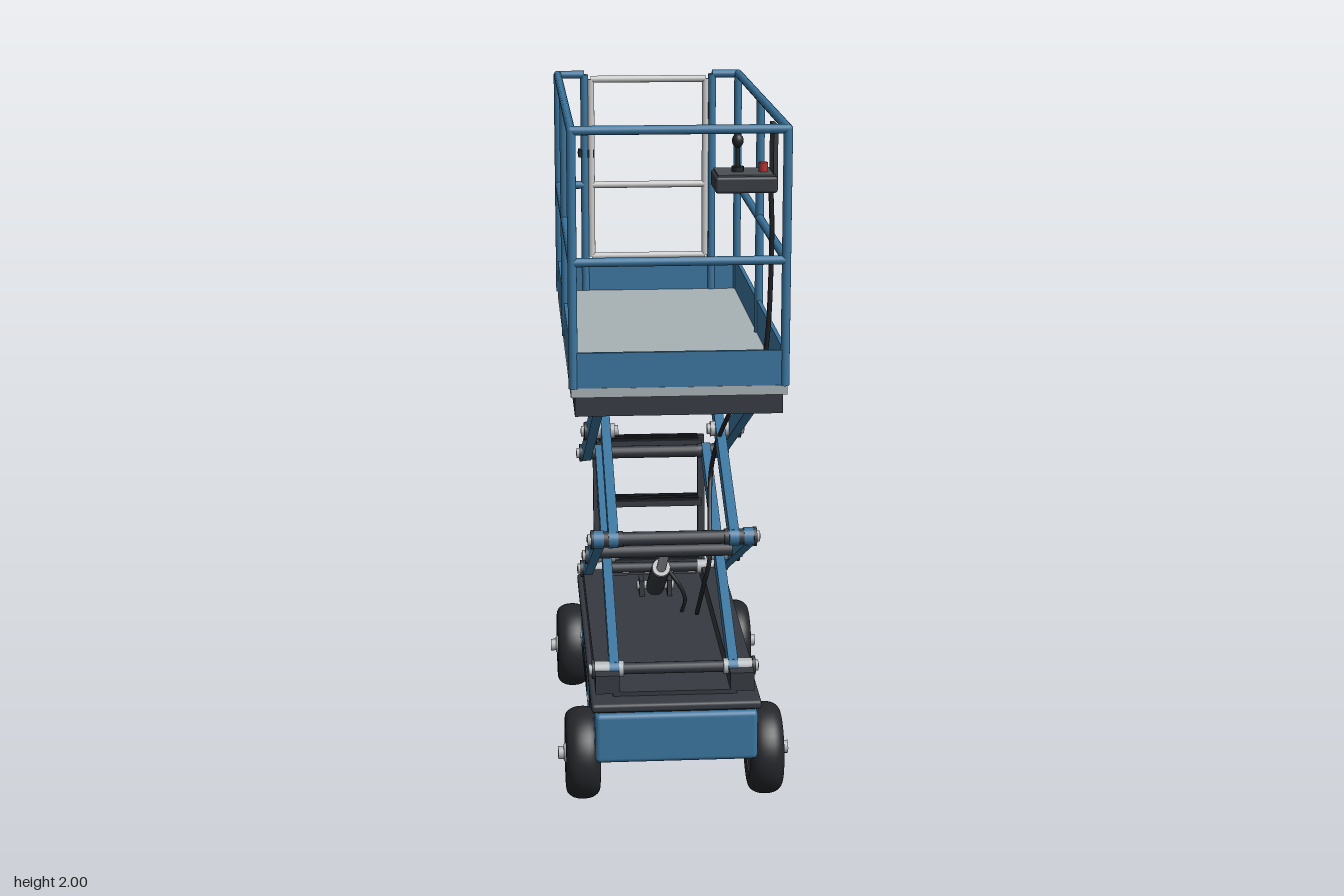
import * as THREE from 'three';
import { RoundedBoxGeometry } from 'three/addons/geometries/RoundedBoxGeometry.js';

const mat = (color) => new THREE.MeshStandardMaterial({ color });
const V = (x, y, z) => new THREE.Vector3(x, y, z);

export function createModel() {
  const model = new THREE.Group();
  const blue = mat(0x3b759e), dark = mat(0x363a41), black = mat(0x22252a);
  const steel = mat(0xb4b8bb), deckGrey = mat(0xa8b2b6), red = mat(0xb03030), lightGrey = mat(0xcccccc);
  const rubber = mat(0x24262a);
  rubber.side = THREE.DoubleSide;

  let parent = model;
  const section = (name) => {
    parent = new THREE.Group();
    parent.name = name;
    model.add(parent);
  };
  const add = (name, geo, m, x = 0, y = 0, z = 0) => {
    const mesh = new THREE.Mesh(geo, m);
    mesh.name = name;
    mesh.position.set(x, y, z);
    parent.add(mesh);
    return mesh;
  };
  const box = (name, m, w, h, d, x, y, z) => add(name, new THREE.BoxGeometry(w, h, d), m, x, y, z);
  const rounded = (name, m, w, h, d, x, y, z, r) =>
    add(name, new RoundedBoxGeometry(w, h, d, 3, r), m, x, y, z);
  // round bar between two points, optionally tapered
  const bar = (name, m, a, b, r, sides = 16, rEnd = r) => {
    const dir = b.clone().sub(a), mid = a.clone().add(b).multiplyScalar(0.5);
    const mesh = add(name, new THREE.CylinderGeometry(rEnd, r, dir.length(), sides), m, mid.x, mid.y, mid.z);
    mesh.quaternion.setFromUnitVectors(V(0, 1, 0), dir.normalize());
    return mesh;
  };
  const tube = (name, m, pts, r) =>
    add(name, new THREE.TubeGeometry(new THREE.CatmullRomCurve3(pts.map((p) => V(...p))), 48, r, 8), m);

  // Chassis
  section('chassis');
  rounded('chassisBody', blue, 0.47, 0.15, 1.18, 0, 0.229, 0.021, 0.015);
  rounded('chassisDeck', dark, 0.49, 0.026, 1.17, 0, 0.322, 0.025, 0.01);
  box('deckSeam', black, 0.45, 0.012, 1.14, 0, 0.306, 0.023);
  box('deckMat', dark, 0.36, 0.015, 1.04, 0, 0.34, 0.025);
  for (const s of [-1, 1]) {
    box('sidePanel', blue, 0.012, 0.11, 0.62, s * 0.235, 0.227, 0.026);
    for (const [h, d, y, z] of [[0.006, 0.63, 0.283, 0.026], [0.006, 0.63, 0.171, 0.026],
      [0.112, 0.006, 0.227, 0.338], [0.112, 0.006, 0.227, -0.286]])
      box('panelSeam', black, 0.012, h, d, s * 0.2345, y, z);
    for (let i = 0; i < 6; i++) box('vent', black, 0.008, 0.052, 0.026, s * 0.24, 0.233, 0.165 - i * 0.056);
    for (const z of [0.295, -0.245])
      bar('panelBolt', steel, V(s * 0.238, 0.232, z), V(s * 0.246, 0.232, z), 0.01);
    box('lowerTrack', dark, 0.07, 0.055, 1.04, s * 0.195, 0.37, 0.025);
    box('upperTrack', dark, 0.07, 0.035, 1.04, s * 0.195, 1.192, 0.025);
  }
  box('rearControl', dark, 0.2, 0.07, 0.025, 0.05, 0.235, -0.579);
  bar('rearButton', red, V(0.115, 0.24, -0.585), V(0.115, 0.24, -0.604), 0.016);
  box('rearSwitches', black, 0.08, 0.03, 0.01, 0.03, 0.235, -0.591);

  // Wheels and axles
  section('wheels');
  const tyreProfile = [[0.07, -0.045], [0.095, -0.05], [0.117, -0.045], [0.131, -0.026], [0.135, 0],
    [0.131, 0.026], [0.117, 0.045], [0.095, 0.05], [0.07, 0.045], [0.066, 0.03]];
  const tyre = new THREE.LatheGeometry(new THREE.SplineCurve(tyreProfile.map((p) => new THREE.Vector2(...p))).getPoints(36), 40);
  for (const z of [0.475, -0.422]) {
    bar('axle', dark, V(-0.24, 0.133, z), V(0.24, 0.133, z), 0.023);
    for (const s of [-1, 1]) {
      add('tyre', tyre, rubber, s * 0.267, 0.135, z).rotation.z = -s * Math.PI / 2;
      bar('rim', dark, V(s * 0.225, 0.135, z), V(s * 0.306, 0.135, z), 0.07, 32);
      add('rimRing', new THREE.TorusGeometry(0.056, 0.006, 8, 32), steel, s * 0.307, 0.135, z).rotation.y = Math.PI / 2;
      bar('hubFlange', steel, V(s * 0.304, 0.135, z), V(s * 0.322, 0.135, z), 0.038, 24, 0.024);
      bar('hub', steel, V(s * 0.32, 0.135, z), V(s * 0.338, 0.135, z), 0.019);
      for (let i = 0; i < 6; i++) {
        const a = (i * Math.PI) / 3, y = 0.135 + 0.043 * Math.sin(a), bz = z + 0.043 * Math.cos(a);
        bar('wheelNut', steel, V(s * 0.303, y, bz), V(s * 0.314, y, bz), 0.006, 6);
      }
    }
  }

  // Scissor lift: inner arms rise to the back, outer arms rise to the front
  section('scissorLift');
  const zF = 0.48, zB = -0.43, zC = 0.025, levels = [0.395, 0.79, 1.185];
  const arm = (x, y0, z0, y1, z1) => {
    const dy = y1 - y0, dz = z1 - z0;
    const mesh = box('scissorArm', blue, 0.028, 0.052, Math.hypot(dy, dz), x, (y0 + y1) / 2, (z0 + z1) / 2);
    mesh.rotation.x = -Math.atan2(dy, dz);
    for (const [y, z] of [[y0, z0], [y1, z1]])
      bar('armEnd', blue, V(x - 0.014, y, z), V(x + 0.014, y, z), 0.026, 24);
  };
  const pin = (s, y, z, sleeve) => {
    bar('pinSleeve', sleeve, V(s * 0.145, y, z), V(s * 0.234, y, z), 0.023, 24);
    bar('pinWasher', dark, V(s * 0.229, y, z), V(s * 0.238, y, z), 0.028, 24);
    bar('pin', steel, V(s * 0.135, y, z), V(s * 0.247, y, z), 0.016);
    bar('pinCentre', dark, V(s * 0.24, y, z), V(s * 0.249, y, z), 0.008);
  };
  for (const s of [-1, 1]) {
    for (let i = 0; i < 2; i++) {
      arm(s * 0.173, levels[i], zF, levels[i + 1], zB);
      arm(s * 0.215, levels[i], zB, levels[i + 1], zF);
      pin(s, (levels[i] + levels[i + 1]) / 2, zC, steel);
    }
    levels.forEach((y, i) => {
      for (const z of [zF, zB]) pin(s, y, z, i === 1 ? dark : steel);
    });
  }
  for (const y of levels) for (const z of [zF, zB])
    bar('crossTube', dark, V(-0.16, y, z), V(0.16, y, z), y === levels[1] ? 0.02 : 0.017);

  // Hydraulic cylinder and hose
  section('hydraulics');
  bar('cylinderBody', dark, V(0, 0.37, -0.31), V(0, 0.525, -0.035), 0.03, 24);
  bar('cylinderCollar', steel, V(0, 0.52, -0.043), V(0, 0.531, -0.024), 0.028, 24);
  bar('cylinderRod', steel, V(0, 0.52, -0.04), V(0, 0.64, 0.15), 0.015);
  bar('cylinderCrossTube', dark, V(-0.205, 0.645, 0.155), V(0.205, 0.645, 0.155), 0.02);
  bar('cylinderFootPin', steel, V(-0.06, 0.375, -0.31), V(0.06, 0.375, -0.31), 0.014);
  for (const s of [-1, 1]) box('cylinderMount', dark, 0.015, 0.07, 0.07, s * 0.045, 0.365, -0.31);
  tube('hose', black, [[0.2, 1.2, 0.29], [0.19, 1.1, 0.21], [0.165, 0.97, 0.08], [0.155, 0.82, -0.055],
    [0.145, 0.71, 0.03], [0.14, 0.6, 0.095], [0.125, 0.5, 0.06], [0.115, 0.36, -0.07]], 0.007);
  tube('cylinderHose', black, [[0.03, 0.49, -0.1], [0.06, 0.45, -0.09], [0.08, 0.4, -0.1], [0.07, 0.34, -0.13]], 0.006);

  // Access ladder
  section('ladder');
  for (const s of [-1, 1]) {
    const stile = box('ladderStile', dark, 0.022, 0.54, 0.032, s * 0.175, 0.515, -0.627);
    stile.rotation.x = -0.085;
    box('ladderBracket', dark, 0.024, 0.04, 0.06, s * 0.175, 0.265, -0.587);
  }
  [[0.362, -0.615], [0.563, -0.63], [0.767, -0.646]].forEach(([y, z]) => {
    box('ladderStep', dark, 0.35, 0.02, 0.08, 0, y, z);
    for (const dz of [-0.025, 0, 0.025]) box('stepTread', black, 0.33, 0.006, 0.01, 0, y + 0.012, z + dz);
  });

  // Platform
  section('platform');
  box('platformPan', dark, 0.56, 0.03, 1.29, 0, 1.248, 0.025);
  for (const s of [-1, 1]) {
    box('platformSideBeam', dark, 0.04, 0.055, 1.3, s * 0.265, 1.234, 0.025);
    box('platformEndBeam', dark, 0.57, 0.055, 0.03, 0, 1.234, 0.025 + s * 0.637);
    box('platformStringer', dark, 0.025, 0.03, 1.26, s * 0.09, 1.22, 0.025);
    box('sideToeBoard', blue, 0.012, 0.1, 1.312, s * 0.289, 1.335, 0.025);
    box('endToeBoard', blue, 0.58, 0.1, 0.012, 0, 1.335, 0.025 + s * 0.652);
  }
  box('platformFloor', deckGrey, 0.592, 0.026, 1.318, 0, 1.274, 0.025);

  // Guard rails
  section('guardRails');
  const X = 0.289, ZF = 0.676, ZB = -0.626, TOP = 1.987, MID = 1.633, R = 0.0125;
  for (const s of [-1, 1]) {
    for (const z of [ZF, 0.025, ZB]) bar('railPost', blue, V(s * X, 1.285, z), V(s * X, TOP, z), R);
    bar('gatePost', blue, V(s * 0.205, 1.285, ZB), V(s * 0.205, TOP, ZB), R);
    for (const y of [TOP, MID]) {
      bar('sideRail', blue, V(s * X, y, ZF), V(s * X, y, ZB), R);
      bar('backRail', blue, V(s * X, y, ZB), V(s * 0.205, y, ZB), R);
    }
    for (const z of [ZF, ZB]) add('railCorner', new THREE.SphereGeometry(R, 12, 8), blue, s * X, TOP, z);
    // grab handles either side of the gate
    const gx = s * 0.205;
    bar('grabHandle', lightGrey, V(gx, 1.31, -0.673), V(gx, 1.61, -0.673), 0.011);
    for (const y of [1.4, 1.595]) bar('grabHandleMount', lightGrey, V(gx, y, ZB), V(gx, y, -0.673), 0.009);
  }
  for (const y of [TOP, MID]) bar('frontRail', blue, V(-X, y, ZF), V(X, y, ZF), R);

  // Entry gate
  section('gate');
  for (const s of [-1, 1]) bar('gateStile', lightGrey, V(s * 0.184, 1.4, ZB), V(s * 0.184, 1.972, ZB), 0.011);
  for (const y of [1.4, MID, 1.972]) bar('gateBar', lightGrey, V(-0.184, y, ZB), V(0.184, y, ZB), 0.011);
  for (const y of [1.45, 1.87]) box('gateHinge', black, 0.035, 0.055, 0.026, 0.195, y, -0.632);
  box('gateLatch', black, 0.05, 0.025, 0.03, -0.2, 1.735, -0.632);
  add('latchKnob', new THREE.SphereGeometry(0.012, 16, 12), black, -0.215, 1.735, -0.647);

  // Operator control box
  section('controls');
  rounded('controlBox', dark, 0.17, 0.045, 0.15, 0.188, 1.824, 0.525, 0.008);
  box('controlFace', mat(0x4a5053), 0.155, 0.012, 0.135, 0.188, 1.845, 0.525);
  box('controlBracket', dark, 0.012, 0.165, 0.095, 0.268, 1.9, 0.533);
  bar('joystickBoot', black, V(0.17, 1.848, 0.525), V(0.17, 1.865, 0.525), 0.017);
  bar('joystickStem', black, V(0.17, 1.855, 0.525), V(0.17, 1.93, 0.525), 0.006);
  add('joystickKnob', new THREE.SphereGeometry(0.016, 20, 14), black, 0.17, 1.935, 0.525).scale.y = 1.2;
  bar('stopButton', red, V(0.24, 1.848, 0.53), V(0.24, 1.876, 0.53), 0.013);
  tube('controlCable', black, [[0.262, 1.815, 0.52], [0.268, 1.7, 0.508], [0.27, 1.54, 0.48], [0.268, 1.4, 0.455], [0.262, 1.29, 0.425]], 0.007);

  return model;
}
